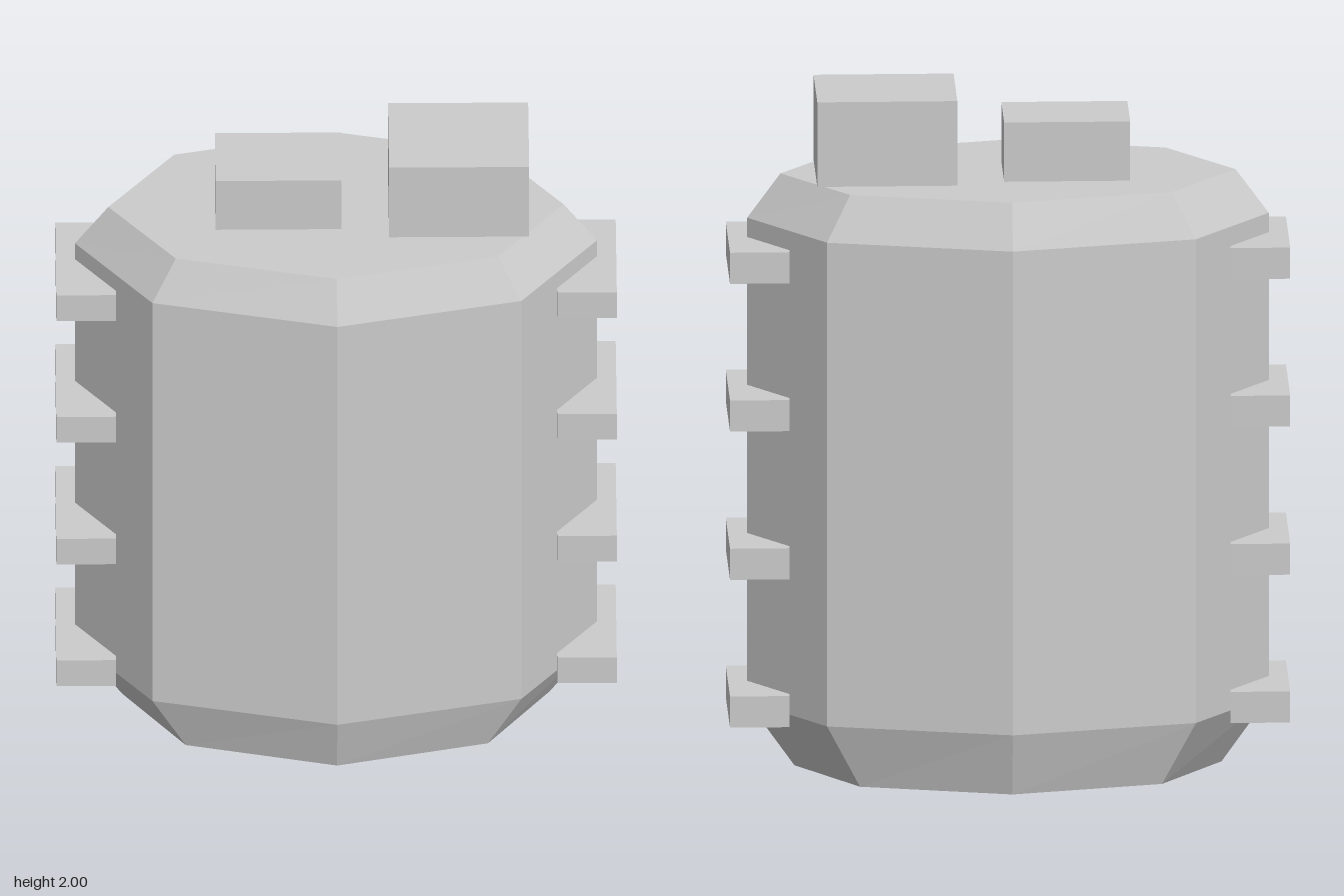
import * as THREE from 'three';

export function createModel() {
  const model = new THREE.Group();
  const grey = new THREE.MeshStandardMaterial({ color: 0xcccccc, flatShading: true });
  grey.name = 'light grey';

  const add = (name, geometry, parent = model) => {
    const mesh = new THREE.Mesh(geometry, grey);
    mesh.name = name;
    parent.add(mesh);
    return mesh;
  };
  const box = (name, x0, x1, y0, y1, z0, z1, parent) =>
    add(name, new THREE.BoxGeometry(x1 - x0, y1 - y0, z1 - z0), parent)
      .position.set((x0 + x1) / 2, (y0 + y1) / 2, (z0 + z1) / 2);

  // Flattened eight-sided body with bevelled ends: [y, half width, half depth]
  const rings = [[0, 0.61, 0.343], [0.19, 0.745, 0.4], [1.62, 0.745, 0.4], [1.75, 0.65, 0.345]];
  const body = new THREE.CylinderGeometry(1, 1, 3, 8, 3);
  const p = body.attributes.position;
  for (let i = 0; i < p.count; i++) {
    const [y, w, d] = rings[Math.round(p.getY(i) + 1.5)];
    p.setXYZ(i, p.getX(i) * w, y, p.getZ(i) * d);
  }
  body.computeVertexNormals();
  add('body', body);

  // Blocks on the top
  box('smallTopBlock', -0.345, 0.015, 1.75, 1.925, -0.115, 0.11);
  box('largeTopBlock', 0.15, 0.55, 1.75, 2, -0.153, 0.15);

  // Four ribs down each side
  for (const [side, s] of [['left', 1], ['right', -1]]) {
    const ribs = new THREE.Group();
    ribs.name = side + 'Ribs';
    model.add(ribs);
    for (const y of [0.205, 0.642, 1.08, 1.517]) {
      const xs = [0.63 * s, 0.8 * s].sort((a, b) => a - b);
      box(side + 'Rib', xs[0], xs[1], y - 0.046, y + 0.046, -0.172, 0.17, ribs);
    }
  }
  return model;
}
